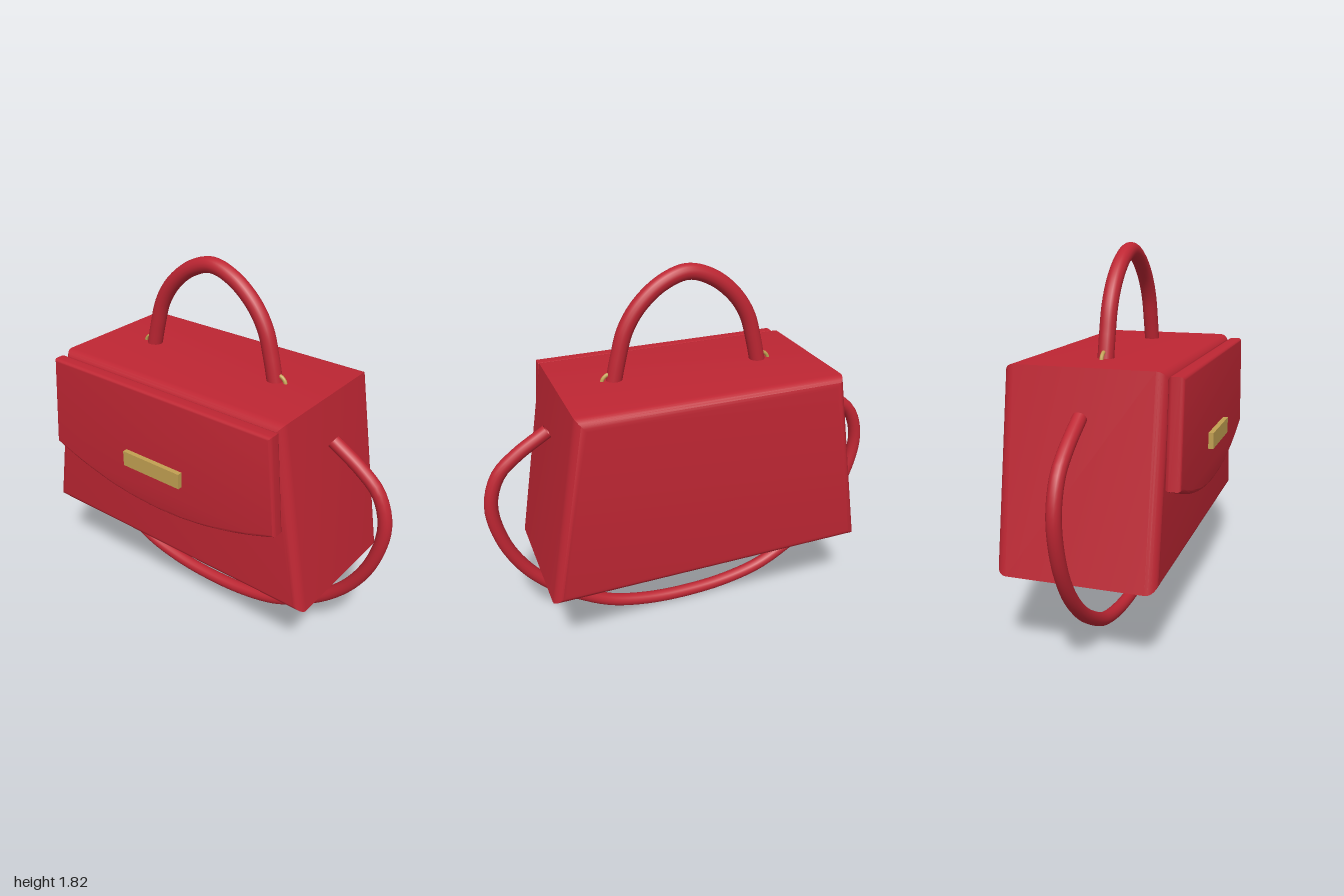
import * as THREE from 'three';
import { toCreasedNormals } from 'three/addons/utils/BufferGeometryUtils.js';

export function createModel() {
  const bag = new THREE.Group();
  bag.name = 'handbag';
  const leather = new THREE.MeshStandardMaterial({ name: 'redLeather', color: 0xbe2633, side: THREE.DoubleSide });
  const metal = new THREE.MeshStandardMaterial({ name: 'goldMetal', color: 0xc2a052 });
  const midZ = -0.043;

  const add = (name, geometry, material) => {
    const mesh = new THREE.Mesh(geometry, material);
    mesh.name = name;
    bag.add(mesh);
    return mesh;
  };

  // Slab between two z planes, with rounded rims kept inside the outline
  const slab = (shape, back, front, round) => {
    const geometry = new THREE.ExtrudeGeometry(shape, {
      depth: front - back - 2 * round,
      bevelThickness: round, bevelSize: round, bevelOffset: -round,
      bevelSegments: 6, curveSegments: 32,
    });
    geometry.translate(0, 0, back + round);
    return toCreasedNormals(geometry, 0.6);
  };

  // Tube along a path mirrored across x = 0; the last point lies on the axis
  const arch = (half, radius) => {
    const mirrored = half.slice(0, -1).reverse().map(([x, y]) => [-x, y]);
    const points = [...half, ...mirrored].map(([x, y]) => new THREE.Vector3(x, y, midZ));
    return new THREE.TubeGeometry(new THREE.CatmullRomCurve3(points), 96, radius, 16);
  };

  // Tapered body
  const bodyShape = new THREE.Shape();
  bodyShape.moveTo(-0.785, 0.43);
  bodyShape.lineTo(0.785, 0.43);
  bodyShape.lineTo(0.63, 1.33);
  bodyShape.lineTo(-0.63, 1.33);
  bodyShape.closePath();
  add('body', slab(bodyShape, -0.41, 0.317, 0.05), leather);

  // Front flap with a curved lower edge
  const flapShape = new THREE.Shape();
  flapShape.moveTo(-0.668, 0.845);
  flapShape.quadraticCurveTo(0, 0.573, 0.668, 0.845);
  flapShape.lineTo(0.627, 1.312);
  flapShape.lineTo(-0.627, 1.312);
  flapShape.closePath();
  add('flap', slab(flapShape, 0.315, 0.386, 0.018), leather);

  // Clasp plate
  add('clasp', new THREE.BoxGeometry(0.336, 0.076, 0.03), metal).position.set(-0.003, 0.938, 0.395);

  // Top handle
  add('handle', arch([
    [0.362, 1.31], [0.335, 1.43], [0.298, 1.555], [0.23, 1.66], [0.12, 1.75], [0, 1.788],
  ], 0.037), leather);

  // Handle rings
  for (const side of [1, -1]) {
    add(side > 0 ? 'leftRing' : 'rightRing', new THREE.TorusGeometry(0.042, 0.009, 10, 24), metal)
      .position.set(side * 0.375, 1.318, midZ);
  }

  // Long shoulder strap hanging below the body
  add('strap', arch([
    [0.68, 1.13], [0.83, 1.035], [0.92, 0.95], [0.968, 0.8], [0.935, 0.6], [0.843, 0.42],
    [0.71, 0.275], [0.57, 0.175], [0.42, 0.097], [0.22, 0.05], [0, 0.036],
  ], 0.032), leather);

  return bag;
}
